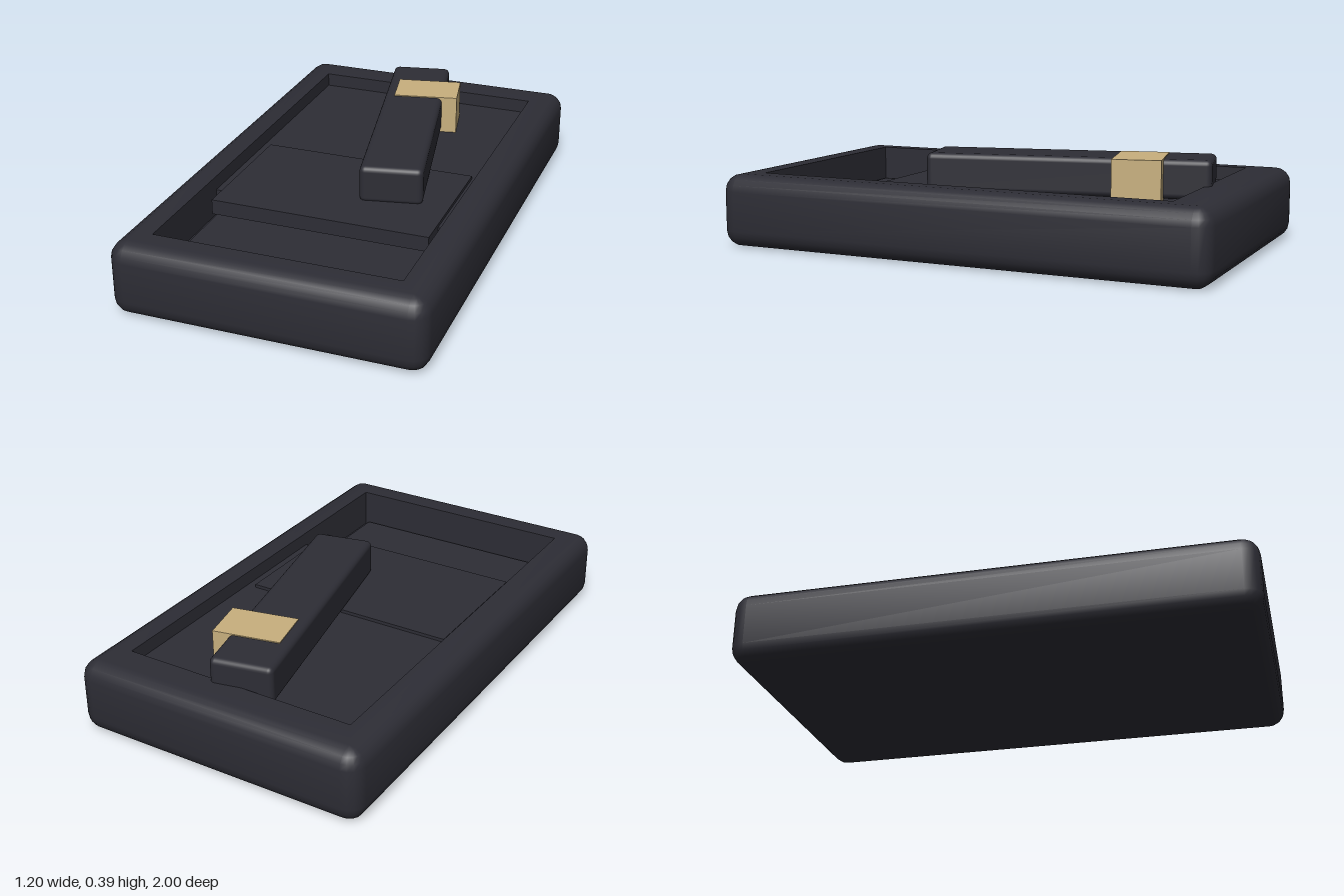
import * as THREE from 'three';
import { toCreasedNormals } from 'three/addons/utils/BufferGeometryUtils.js';
import { RoundedBoxGeometry } from 'three/addons/geometries/RoundedBoxGeometry.js';

const CORNER = 4; // segments per rounded corner

// Rounded rectangle ring in the xz plane
function ring(hx, hz, r, y, cz = 0) {
  const pts = [];
  for (let q = 0; q < 4; q++) {
    const sx = q === 0 || q === 3 ? 1 : -1;
    const sz = q < 2 ? 1 : -1;
    for (let i = 0; i <= CORNER; i++) {
      const a = (q + i / CORNER) * Math.PI / 2;
      pts.push([sx * (hx - r) + r * Math.cos(a), y, cz + sz * (hz - r) + r * Math.sin(a)]);
    }
  }
  return pts;
}

// Skin a stack of rings, closing both ends
function loft(rings) {
  const n = rings[0].length;
  const pos = rings.flat(2);
  const idx = [];
  for (let k = 0; k < rings.length - 1; k++) {
    for (let i = 0; i < n; i++) {
      const a = k * n + i, b = k * n + (i + 1) % n;
      idx.push(a, a + n, b, b, a + n, b + n);
    }
  }
  const last = (rings.length - 1) * n;
  for (let i = 1; i < n - 1; i++) {
    idx.push(0, i, i + 1);
    idx.push(last, last + i + 1, last + i);
  }
  const g = new THREE.BufferGeometry();
  g.setAttribute('position', new THREE.Float32BufferAttribute(pos, 3));
  g.setIndex(idx);
  return toCreasedNormals(g, 0.6);
}

export function createModel() {
  const model = new THREE.Group();
  model.name = 'tray';
  const dark = new THREE.MeshStandardMaterial({ name: 'charcoal', color: 0x2d2d35 });
  const tan = new THREE.MeshStandardMaterial({ name: 'tan', color: 0xc8b07e });

  const add = (name, geometry, material, parent = model) => {
    const mesh = new THREE.Mesh(geometry, material);
    mesh.name = name;
    parent.add(mesh);
    return mesh;
  };
  // Box given by its limits
  const slab = (name, x0, x1, y0, y1, z0, z1, material, parent) => {
    const mesh = add(name, new THREE.BoxGeometry(x1 - x0, y1 - y0, z1 - z0), material, parent);
    mesh.position.set((x0 + x1) / 2, (y0 + y1) / 2, (z0 + z1) / 2);
    return mesh;
  };

  // Rounded outer body with a rectangular cavity
  const H = 0.288, R = 0.065, rings = [];
  const edge = (a, yc) => {
    const inset = R * (1 - Math.cos(a));
    rings.push(ring(0.6 - inset, 1 - inset, R - inset, yc + R * Math.sin(a)));
  };
  for (let i = 0; i <= 4; i++) edge((i / 4 - 1) * Math.PI / 2, R);
  for (let i = 0; i <= 4; i++) edge((i / 4) * Math.PI / 2, H - R);
  rings.push(ring(0.475, 0.8475, 0, H, 0.0175));
  rings.push(ring(0.475, 0.8475, 0, 0.13, 0.0175));
  add('body', loft(rings), dark);

  // Inner levels: rear deck, raised panel and sunken pocket floor
  slab('rearDeck', -0.478, 0.478, 0.125, 0.232, -0.835, 0.355, dark);
  slab('panel', -0.44, 0.435, 0.185, 0.245, -0.09, 0.465, dark);
  slab('pocketFloor', -0.455, 0.452, 0.12, 0.147, 0.34, 0.855, dark);

  // Slanted bar with its tan block
  const lever = new THREE.Group();
  lever.name = 'lever';
  lever.position.set(0.095, 0, -0.293);
  lever.rotation.y = 0.21;
  model.add(lever);
  const bar = add('bar', new RoundedBoxGeometry(0.245, 0.15, 1.1, 3, 0.022), dark, lever);
  bar.position.y = 0.31;
  slab('tanBlock', -0.08, 0.186, 0.228, 0.389, -0.37, -0.183, tan, lever);

  return model;
}
